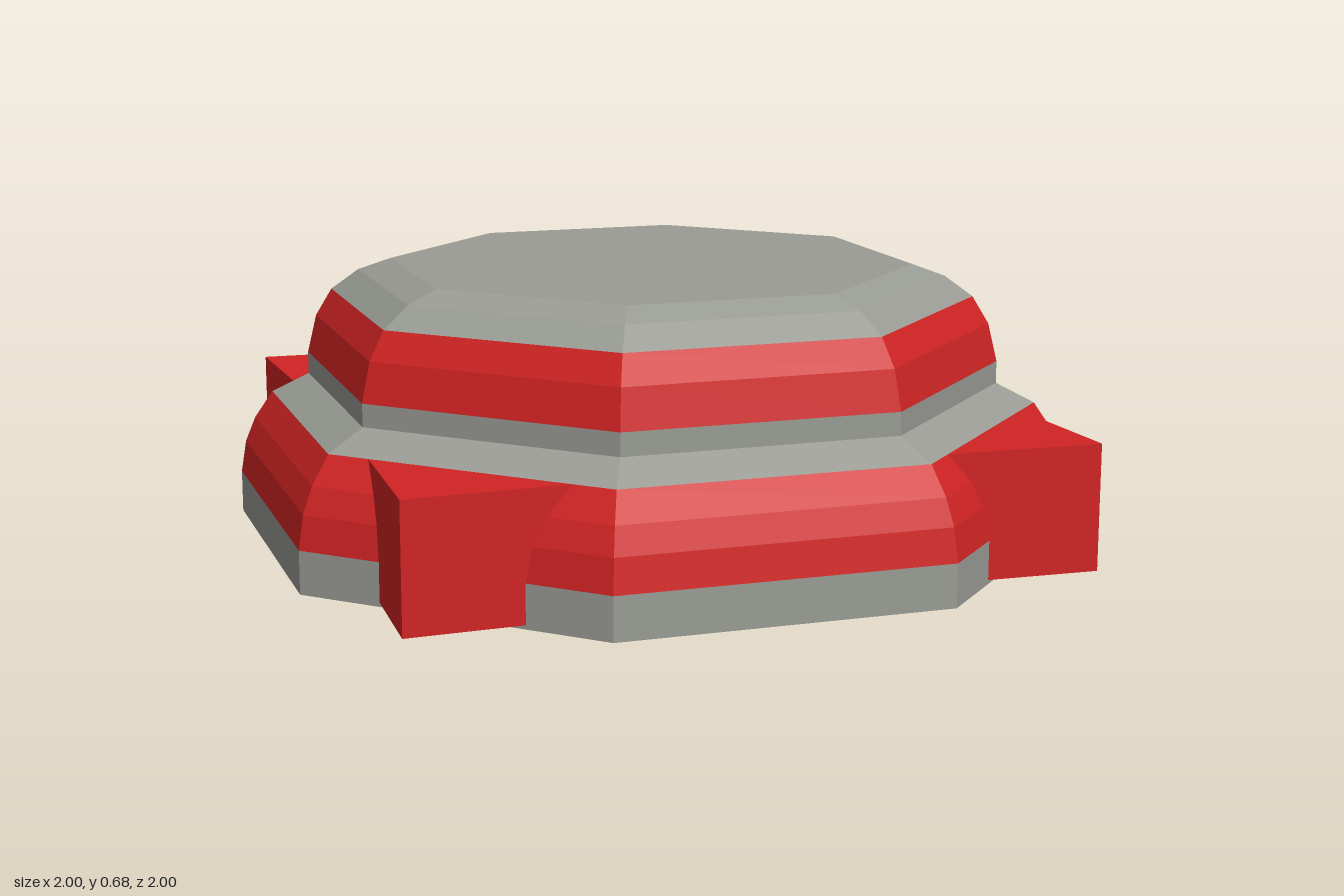
import * as THREE from 'three';

const red = new THREE.MeshStandardMaterial({ color: 0xd02323 });
red.name = 'red';
const grey = new THREE.MeshStandardMaterial({ color: 0x999b94 });
grey.name = 'grey';

// Mesh with one flat normal per face
function flatMesh(name, geometry, material) {
  const flat = geometry.index ? geometry.toNonIndexed() : geometry;
  flat.computeVertexNormals();
  const mesh = new THREE.Mesh(flat, material);
  mesh.name = name;
  return mesh;
}

// Octagonal band; profile points are [distance to flat side, height]
function octagonBand(name, profile, material) {
  const k = 1 / Math.cos(Math.PI / 8);
  const points = profile.map(([r, y]) => new THREE.Vector2(r * k, y));
  return flatMesh(name, new THREE.LatheGeometry(points, 8, Math.PI / 8), material);
}

// Wedge-cornered block sticking out of a diagonal side
function cornerBlock() {
  const shape = new THREE.Shape([
    [0.855, 0.855], [0.4, 0.837], [0.4, 0.4], [0.837, 0.4],
  ].map(([x, y]) => new THREE.Vector2(x, y)));
  const geometry = new THREE.ExtrudeGeometry(shape, { depth: 0.315, bevelEnabled: false });
  geometry.rotateX(-Math.PI / 2).translate(0, 0.01, 0);
  return flatMesh('cornerBlock', geometry, red);
}

export function createModel() {
  const model = new THREE.Group();
  model.name = 'octagonalButton';

  // Lower tier
  model.add(
    octagonBand('baseFoot', [[0, 0], [1, 0], [1, 0.107]], grey),
    octagonBand('baseBand', [[1, 0.107], [0.987, 0.19], [0.962, 0.255], [0.918, 0.325]], red),
    octagonBand('baseShoulder', [[0.918, 0.325], [0.827, 0.375]], grey),
  );

  // Upper tier
  model.add(
    octagonBand('topFoot', [[0.827, 0.375], [0.827, 0.432]], grey),
    octagonBand('topBand', [[0.827, 0.432], [0.805, 0.53], [0.766, 0.6]], red),
    octagonBand('topCap', [[0.766, 0.6], [0.7, 0.652], [0.622, 0.682], [0, 0.682]], grey),
  );

  // Four corner blocks
  for (let i = 0; i < 4; i++) {
    const block = cornerBlock();
    block.rotation.y = (i * Math.PI) / 2;
    model.add(block);
  }
  return model;
}
